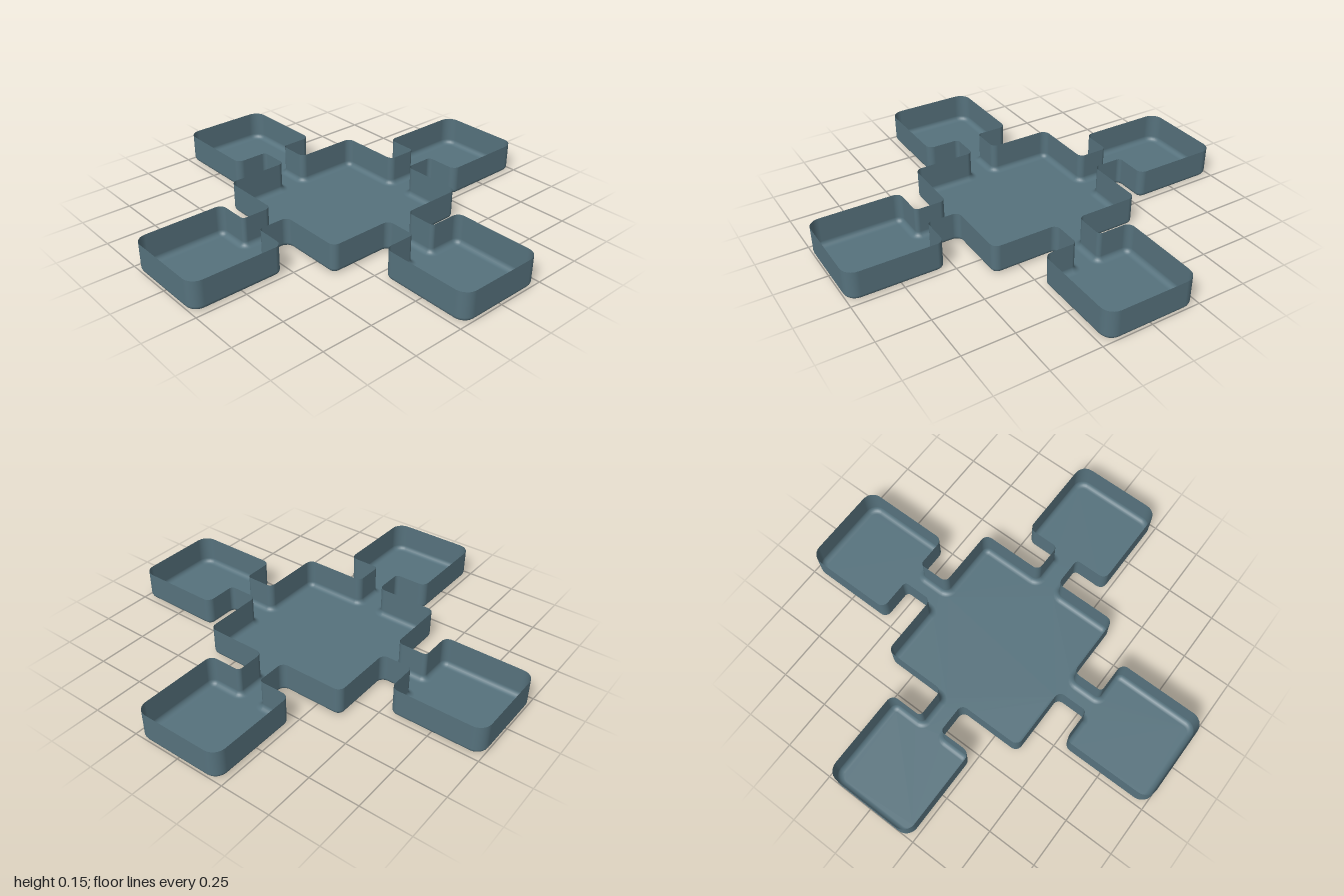
import * as THREE from 'three';

const HEIGHT = 0.15;
const FILLET_W = 0.03, FILLET_H = 0.025;
const ARC = 6;

// Corners of one arm (x, z, corner radius); repeated four times round the hub
const ARM = [
  [0.383, -0.06, 0.03], [0.54, -0.06, 0.02], [0.54, -0.229, 0.035], [1, -0.229, 0.06],
  [1, 0.229, 0.06], [0.54, 0.229, 0.035], [0.54, 0.06, 0.02], [0.383, 0.06, 0.03],
  [0.383, 0.383, 0.035],
];

function planCorners() {
  const corners = [];
  for (let k = 0; k < 4; k++) {
    const c = Math.round(Math.cos(k * Math.PI / 2)), s = Math.round(Math.sin(k * Math.PI / 2));
    for (const [x, z, r] of ARM) corners.push({ p: new THREE.Vector2(x * c - z * s, x * s + z * c), r });
  }
  return corners;
}

// Rounded plan outline: points with outward normals, shifted inward by inset
function outline(corners, inset) {
  const pts = [];
  corners.forEach(({ p, r }, i) => {
    const n = corners.length;
    const d1 = p.clone().sub(corners[(i + n - 1) % n].p).normalize();
    const d2 = corners[(i + 1) % n].p.clone().sub(p).normalize();
    const sign = Math.sign(d1.cross(d2)); // +1 convex, -1 concave
    const centre = p.clone().addScaledVector(d1, -r).addScaledVector(d2, r);
    for (let j = 0; j <= ARC; j++) {
      const t = j / ARC * Math.PI / 2;
      const dir = d1.clone().multiplyScalar(Math.sin(t)).addScaledVector(d2, -Math.cos(t));
      pts.push({ p: centre.clone().addScaledVector(dir, r - sign * inset), n: dir.multiplyScalar(sign) });
    }
  });
  return pts;
}

// Upright wall with a rounded lower edge, lofted from plan outlines
function wallGeometry(corners) {
  const profile = [];
  for (let j = 0; j <= 6; j++) {
    const a = (1 - j / 6) * Math.PI / 2;
    profile.push([FILLET_W * (1 - Math.cos(a)), FILLET_H * (1 - Math.sin(a)), a]);
  }
  profile.push([0, HEIGHT, 0]);
  const pos = [], nor = [], index = [];
  let n = 0;
  profile.forEach(([inset, y, a], row) => {
    const ring = outline(corners, inset);
    n = ring.length;
    ring.forEach(({ p, n: dir }, i) => {
      pos.push(p.x, y, p.y);
      nor.push(dir.x * Math.cos(a), -Math.sin(a), dir.y * Math.cos(a));
      if (row === 0) return;
      const next = (i + 1) % n, lo = (row - 1) * n, hi = row * n;
      index.push(lo + i, hi + i, lo + next, hi + i, hi + next, lo + next);
    });
  });
  const geo = new THREE.BufferGeometry();
  geo.setAttribute('position', new THREE.Float32BufferAttribute(pos, 3));
  geo.setAttribute('normal', new THREE.Float32BufferAttribute(nor, 3));
  geo.setIndex(index);
  return geo;
}

export function createModel() {
  const group = new THREE.Group();
  group.name = 'crossTray';
  const material = new THREE.MeshStandardMaterial({ color: 0x56727d, side: THREE.DoubleSide });
  const corners = planCorners();

  // Thin wall round the hub, corridors and four pods
  const wall = new THREE.Mesh(wallGeometry(corners), material);
  wall.name = 'wall';

  // Flat floor inside the rounded edge
  const floorShape = new THREE.Shape(outline(corners, FILLET_W).map(({ p }) => p));
  const floor = new THREE.Mesh(new THREE.ShapeGeometry(floorShape).rotateX(Math.PI / 2), material);
  floor.name = 'floor';

  group.add(wall, floor);
  return group;
}
